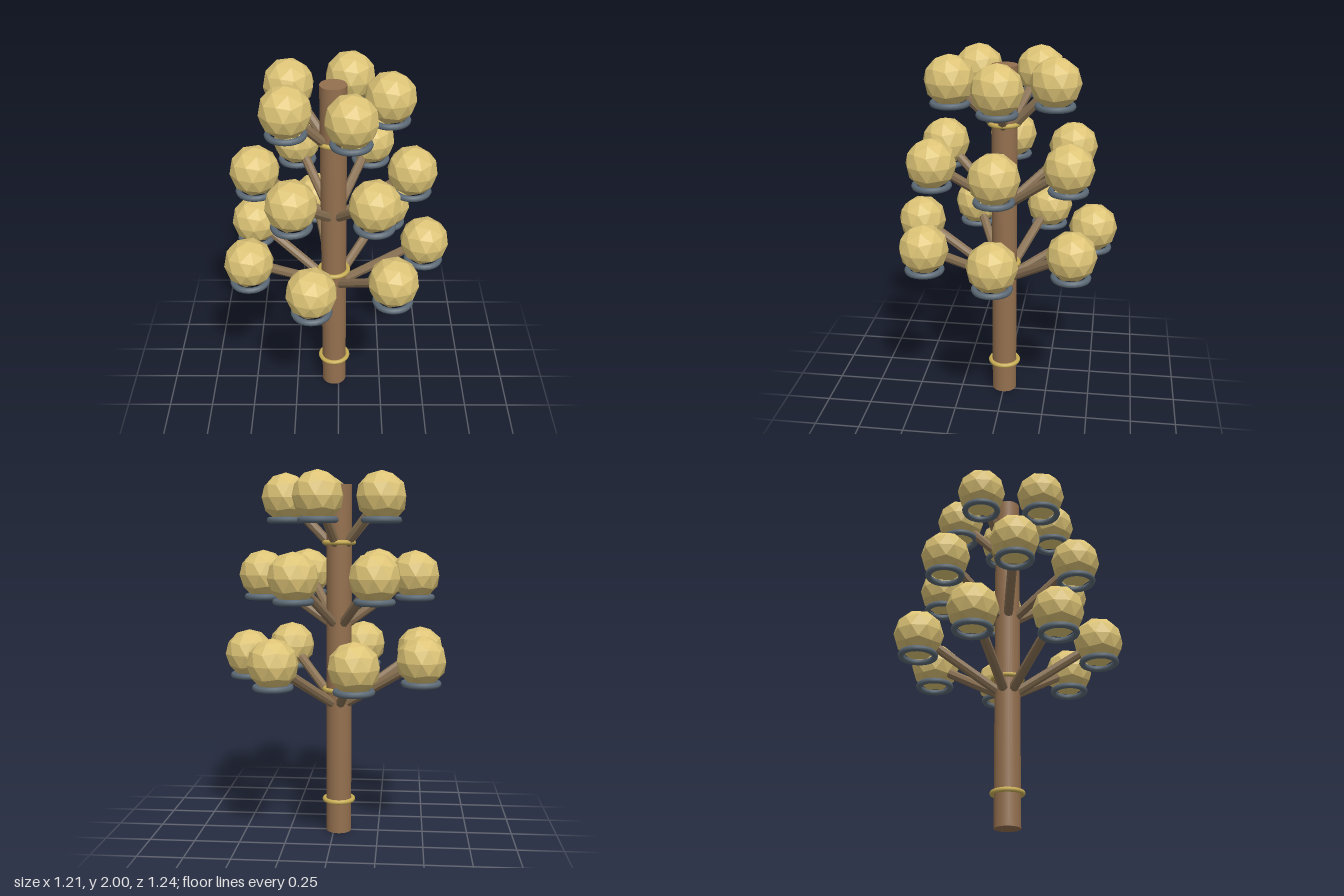
import * as THREE from 'three';

const TRUNK_X = -0.027;
const paint = (color, flatShading = false) => new THREE.MeshStandardMaterial({ color, flatShading });

const bark = paint(0x94704f);
const branchWood = paint(0x8b7355, true);
const foliage = paint(0xdcc376, true);
const slate = paint(0x5c6a76);
const gold = paint(0xc9ae55);

function add(parent, name, geometry, material, position) {
  const mesh = new THREE.Mesh(geometry, material);
  mesh.name = name;
  mesh.position.copy(position);
  parent.add(mesh);
  return mesh;
}

// Straight round bar between two points
function addBar(parent, name, from, to, radius) {
  const dir = to.clone().sub(from);
  const geometry = new THREE.CylinderGeometry(radius, radius, dir.length(), 8);
  const bar = add(parent, name, geometry, branchWood, from.clone().lerp(to, 0.5));
  bar.quaternion.setFromUnitVectors(new THREE.Vector3(0, 1, 0), dir.normalize());
}

export function createModel() {
  const tree = new THREE.Group();
  tree.name = 'tieredTree';

  // Everything grows around the trunk axis
  const body = new THREE.Group();
  body.name = 'treeBody';
  body.position.x = TRUNK_X;
  tree.add(body);

  add(body, 'trunk', new THREE.CylinderGeometry(0.07, 0.07, 1.935, 32), bark, new THREE.Vector3(0, 0.9675, 0));

  // Gold bands around the trunk
  const bandGeometry = new THREE.TorusGeometry(0.08, 0.013, 8, 32).rotateX(Math.PI / 2);
  for (const y of [0.183, 0.815, 1.625]) add(body, 'trunkBand', bandGeometry, gold, new THREE.Vector3(0, y, 0));

  // Faceted globe with a corner at the top and bottom
  const globeGeometry = new THREE.IcosahedronGeometry(0.135, 1)
    .rotateX(-Math.atan((1 + Math.sqrt(5)) / 2))
    .rotateY(Math.PI / 2);
  const ringGeometry = new THREE.TorusGeometry(0.091, 0.017, 8, 24).rotateX(Math.PI / 2);

  // Tiers of branches, each ending in a globe seated on a ring
  const tiers = [
    { name: 'lowerTier', count: 7, radius: 0.5, y: 1.01 },
    { name: 'middleTier', count: 6, radius: 0.415, y: 1.45 },
    { name: 'upperTier', count: 5, radius: 0.288, y: 1.865 },
  ];
  for (const { name, count, radius, y } of tiers) {
    const tier = new THREE.Group();
    tier.name = name;
    body.add(tier);
    for (let i = 0; i < count; i++) {
      const a = (i / count) * Math.PI * 2;
      const centre = new THREE.Vector3(Math.cos(a) * radius, y, Math.sin(a) * radius);
      addBar(tier, 'branch', new THREE.Vector3(0, y - 0.3, 0), centre, 0.026);
      add(tier, 'globe', globeGeometry, foliage, centre);
      add(tier, 'globeRing', ringGeometry, slate, centre.clone().setY(y - 0.12));
    }
  }
  return tree;
}
